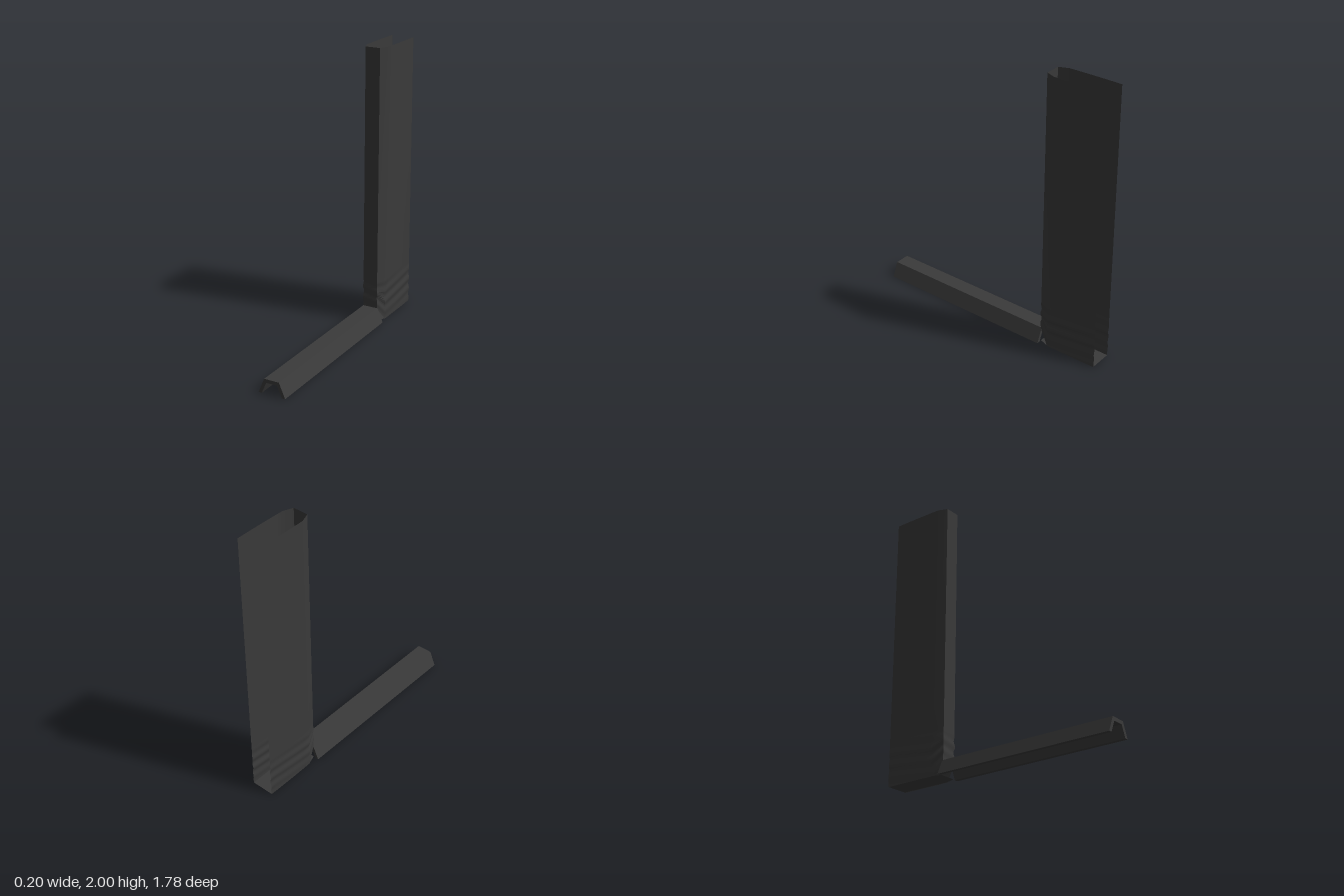
import * as THREE from 'three';
import { toCreasedNormals } from 'three/addons/utils/BufferGeometryUtils.js';

const BACK = -0.89, JOIN = -0.44, FRONT = 0.89, HEIGHT = 2;

// Inverted trapezoidal channel lying on the ground
function makeChannel(material) {
  const shape = new THREE.Shape([
    [-0.1, 0], [-0.075, 0], [-0.04, 0.08], [0.04, 0.08],
    [0.075, 0], [0.1, 0], [0.055, 0.105], [-0.055, 0.105],
  ].map(([x, y]) => new THREE.Vector2(x, y)));
  const geometry = new THREE.ExtrudeGeometry(shape, { depth: FRONT - JOIN, bevelEnabled: false });
  geometry.translate(0, 0, JOIN);
  const mesh = new THREE.Mesh(geometry, material);
  mesh.name = 'baseChannel';
  return mesh;
}

// Thin upright sleeve, open at the back and top, creased near its foot
function makeSleeve(material) {
  // Half profile from the back edge to the front: x, z, height of the lower edge
  const half = [];
  for (let i = 0; i <= 8; i++) {
    const t = i / 8;
    half.push([0.082 + 0.002 * Math.sin(Math.PI * t), THREE.MathUtils.lerp(BACK, -0.51, t), 0]);
  }
  half.push([0.055, JOIN, 0.1]);
  const profile = [
    ...half.map(([x, z, y]) => [-x, z, y]),
    [0, JOIN, 0.1],
    ...half.slice().reverse(),
  ];
  const columns = profile.length - 1, rows = 24;
  const geometry = new THREE.PlaneGeometry(1, 1, columns, rows);
  const position = geometry.attributes.position;
  for (let i = 0; i < position.count; i++) {
    const [x, z, bottom] = profile[i % (columns + 1)];
    const row = rows - Math.floor(i / (columns + 1));
    // Close rows up to 0.32, then one straight run to the top
    const y = row === rows ? HEIGHT : THREE.MathUtils.lerp(bottom, 0.32, row / (rows - 1));
    const fade = row === rows ? 0 : Math.sin(Math.PI * row / (rows - 1));
    const fold = 0.004 * fade * Math.sin(75 * y + 9 * z + 25 * x);
    const lean = 0.008 * (1 - y / HEIGHT) * THREE.MathUtils.smoothstep(z, -0.55, JOIN);
    position.setXYZ(i, x + Math.sign(x) * fold, y, z + lean + (z > -0.52 ? fold : 0));
  }
  const mesh = new THREE.Mesh(toCreasedNormals(geometry, 0.5), material);
  mesh.name = 'uprightSleeve';
  return mesh;
}

// Flat floor closing the foot of the sleeve
function makeFloor(material) {
  const shape = new THREE.Shape([
    [-0.082, -BACK], [-0.082, 0.51], [-0.06, -JOIN],
    [0.06, -JOIN], [0.082, 0.51], [0.082, -BACK],
  ].map(([x, y]) => new THREE.Vector2(x, y)));
  const geometry = new THREE.ShapeGeometry(shape);
  geometry.rotateX(-Math.PI / 2);
  geometry.translate(0, 0.003, 0);
  const mesh = new THREE.Mesh(geometry, material);
  mesh.name = 'sleeveFloor';
  return mesh;
}

export function createModel() {
  const solid = new THREE.MeshStandardMaterial({ color: 0x3a3a3a });
  const thin = new THREE.MeshStandardMaterial({ color: 0x3a3a3a, side: THREE.DoubleSide });
  const model = new THREE.Group();
  model.name = 'uprightOnChannel';
  model.add(makeChannel(solid), makeSleeve(thin), makeFloor(thin));
  return model;
}
